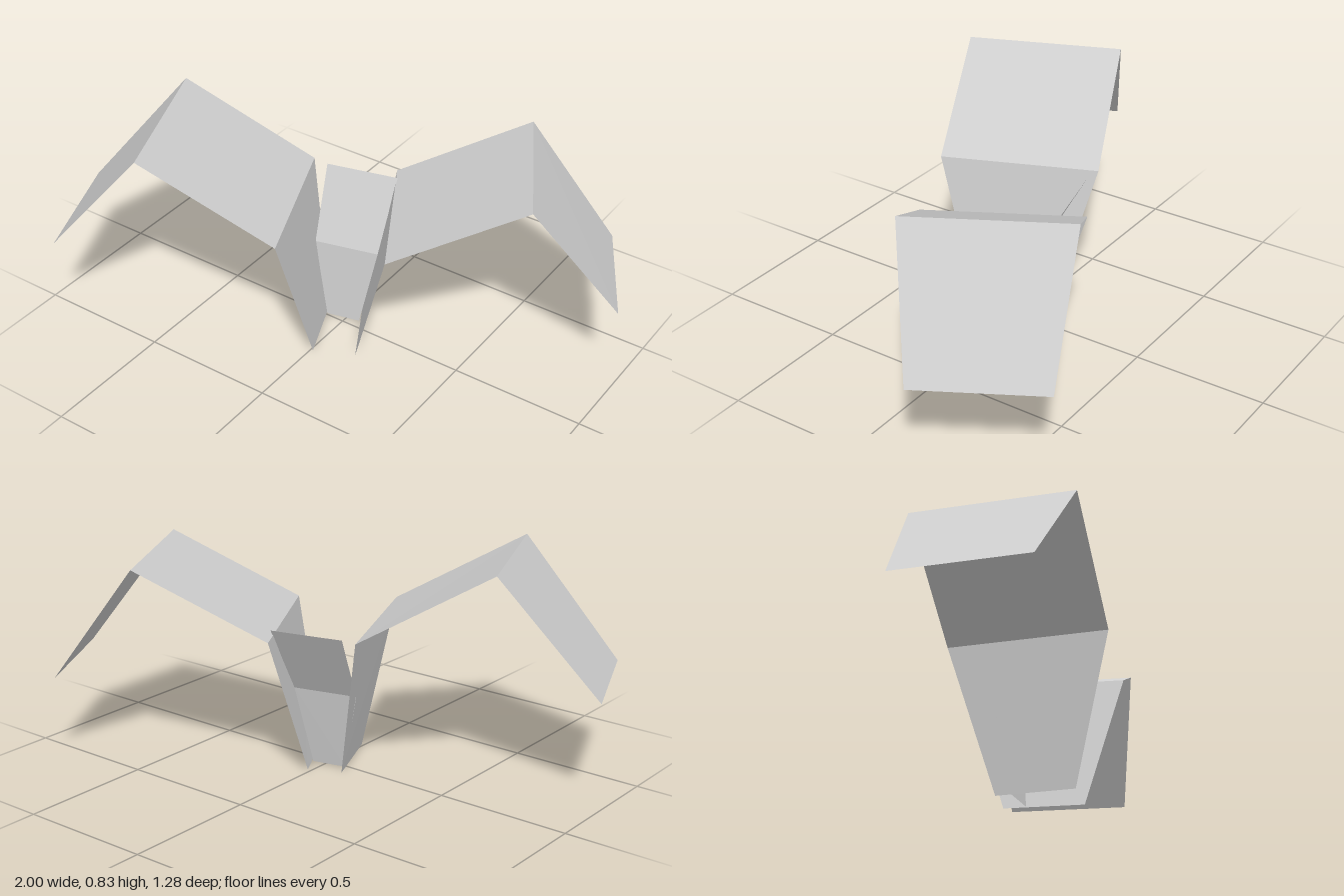
import * as THREE from 'three';

// One flat four-cornered panel spanning two edges, each edge a pair of points
function makePanel(name, [a, b], [c, d], material) {
  const geometry = new THREE.BufferGeometry();
  const corners = [a, b, d, a, d, c].flat();
  geometry.setAttribute('position', new THREE.Float32BufferAttribute(corners, 3));
  geometry.computeVertexNormals();
  const mesh = new THREE.Mesh(geometry, material);
  mesh.name = name;
  return mesh;
}

// A blade is a strip of panels folded along successive edges
function makeBlade(name, edges, panelNames, material) {
  const blade = new THREE.Group();
  blade.name = name;
  panelNames.forEach((panelName, i) => {
    blade.add(makePanel(panelName, edges[i], edges[i + 1], material));
  });
  return blade;
}

export function createModel() {
  const model = new THREE.Group();
  model.name = 'foldedPlant';

  const grey = new THREE.MeshStandardMaterial({ color: 0xcccccc, side: THREE.DoubleSide, flatShading: true });
  grey.name = 'light grey';

  // Edges run from the ground to the tip: [back corner, front corner]
  const arm = ['stemPanel', 'risingPanel', 'droopingPanel'];
  model.add(makeBlade('rightBlade', [
    [[-0.10, 0, -0.06], [0.01, 0, 0.205]],
    [[-0.245, 0.55, -0.17], [-0.02, 0.55, 0.375]],
    [[-0.69, 0.83, 0.012], [-0.468, 0.83, 0.557]],
    [[-1, 0.4, 0.2], [-0.82, 0.4, 0.638]],
  ], arm, grey));

  model.add(makeBlade('leftBlade', [
    [[0.015, 0, -0.112], [0.155, 0, 0.143]],
    [[0.037, 0.53, -0.3], [0.322, 0.53, 0.213]],
    [[0.46, 0.77, -0.535], [0.745, 0.77, -0.022]],
    [[0.767, 0.333, -0.64], [0.997, 0.333, -0.232]],
  ], arm, grey));

  // Short upright blade in the middle, bent backwards
  model.add(makeBlade('middleBlade', [
    [[-0.075, 0, -0.007], [0.05, 0, -0.037]],
    [[-0.143, 0.295, -0.03], [0.094, 0.295, -0.09]],
    [[-0.183, 0.55, -0.165], [0.083, 0.55, -0.232]],
  ], ['stemPanel', 'tipPanel'], grey));

  return model;
}
